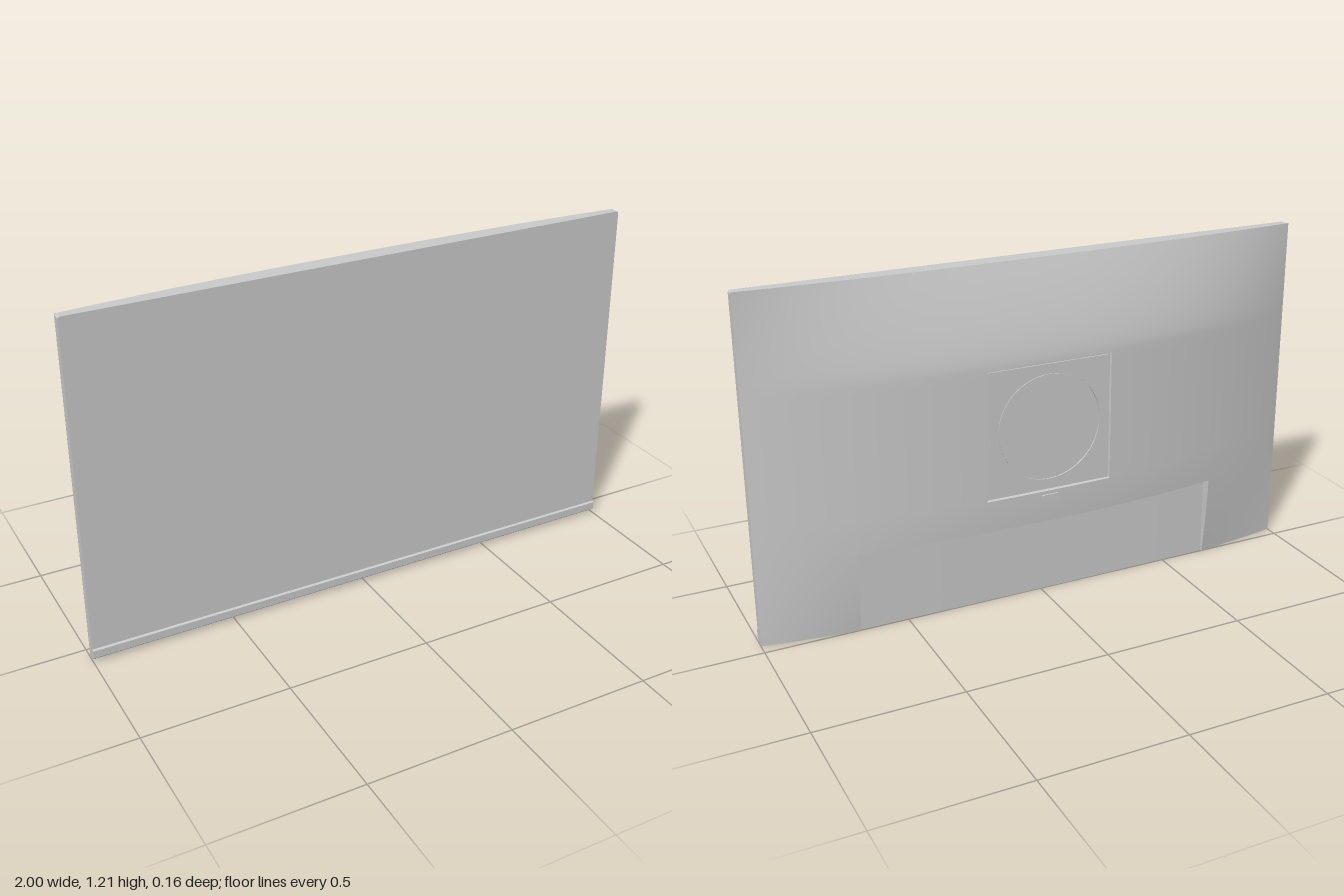
import * as THREE from 'three';
import { toCreasedNormals } from 'three/addons/utils/BufferGeometryUtils.js';

const TOP = 1.205, RIM = 0.045, FRONT = 0.075;
const BAY = { x: 0.67, y: 0.297 };                      // lower rear recess
const MOUNT = { half: 0.23, y: 0.643, floor: -0.062 };  // square mount pocket

const material = () => new THREE.MeshStandardMaterial({ color: 0xcccccc });

function add(group, name, geometry, x = 0, y = 0, z = 0) {
  const mesh = new THREE.Mesh(geometry, material());
  mesh.name = name;
  mesh.position.set(x, y, z);
  group.add(mesh);
  return mesh;
}

// Depth of the rear surface: domed bulge with the recess and pocket cut in
function backZ(x, y) {
  let depth = 0.118;
  if (y > 0.88) depth -= 0.085 * ((y - 0.88) / 0.325) ** 1.35;
  if (y < 0.42) depth -= 0.045 * ((0.42 - y) / 0.42) ** 1.9;
  const z = RIM - 0.001 - depth * (1 - Math.abs(x) ** 2.4);
  if (Math.abs(x) < BAY.x && y < BAY.y) return Math.max(z, 0.006 * (x / BAY.x) ** 2);
  if (Math.abs(x) < MOUNT.half && Math.abs(y - MOUNT.y) < MOUNT.half) return MOUNT.floor;
  return z;
}

// Even steps plus a tight pair of lines at each cut edge
function gridLines(min, max, steps, edges) {
  const lines = [];
  for (let i = 0; i <= steps; i++) lines.push(min + (max - min) * i / steps);
  for (const e of edges) lines.push(e - 0.001, e + 0.001);
  return lines.sort((a, b) => a - b);
}

function shellGeometry() {
  const xs = gridLines(-1, 1, 48, [-BAY.x, BAY.x, -MOUNT.half, MOUNT.half]);
  const ys = gridLines(0, TOP, 40, [BAY.y, MOUNT.y - MOUNT.half, MOUNT.y + MOUNT.half]);
  const rows = [0, ...ys, TOP]; // first and last rows close the shell onto the panel
  const positions = [], index = [], n = xs.length;
  rows.forEach((y, j) => {
    const rim = j === 0 || j === rows.length - 1;
    xs.forEach((x, i) => {
      positions.push(x, y, rim ? RIM : backZ(x, y));
      if (i < n - 1 && j < rows.length - 1) {
        const a = j * n + i, b = a + 1, d = a + n, c = d + 1;
        index.push(a, d, b, b, d, c);
      }
    });
  });
  const geometry = new THREE.BufferGeometry();
  geometry.setAttribute('position', new THREE.Float32BufferAttribute(positions, 3));
  geometry.setIndex(index);
  return toCreasedNormals(geometry, 0.5);
}

function roundedRect(x0, y0, x1, y1, r) {
  const s = new THREE.Shape();
  s.absarc(x1 - r, y0 + r, r, -Math.PI / 2, 0);
  s.absarc(x1 - r, y1 - r, r, 0, Math.PI / 2);
  s.absarc(x0 + r, y1 - r, r, Math.PI / 2, Math.PI);
  s.absarc(x0 + r, y0 + r, r, Math.PI, Math.PI * 1.5);
  s.closePath();
  return s;
}

const extrude = (shape, depth) =>
  new THREE.ExtrudeGeometry(shape, { depth, bevelEnabled: false, curveSegments: 48 });

export function createModel() {
  const group = new THREE.Group();
  group.name = 'monitor';

  // Flat display slab
  add(group, 'displayPanel', extrude(roundedRect(-1, 0.01, 1, TOP, 0.008), FRONT - RIM), 0, 0, RIM);

  // Domed rear housing
  add(group, 'rearHousing', shellGeometry()).material.side = THREE.DoubleSide;

  // Lower front bezel, profile in (-z, y) swept across the width
  const chin = new THREE.Shape([
    [-RIM, 0], [-RIM, 0.049], [-0.076, 0.049], [-0.082, 0.045],
    [-0.082, 0.018], [-0.072, 0.009], [-0.056, 0.002],
  ].map(([x, y]) => new THREE.Vector2(x, y)));
  add(group, 'lowerBezel', extrude(chin, 2), -1).rotation.y = Math.PI / 2;

  // Mount plate with a round opening, set in the square pocket
  const half = MOUNT.half - 0.008;
  const plate = new THREE.Shape([
    [-half, -half], [half, -half], [half, half], [-half, half],
  ].map(([x, y]) => new THREE.Vector2(x, y)));
  plate.holes.push(new THREE.Path().absarc(0, 0, 0.19, 0, Math.PI * 2, true));
  add(group, 'mountPlate', extrude(plate, 0.005), 0, MOUNT.y, MOUNT.floor - 0.005);

  // Round cover just inside the opening
  const cover = new THREE.CylinderGeometry(0.185, 0.185, 0.004, 64).rotateX(Math.PI / 2);
  add(group, 'mountCover', cover, 0, MOUNT.y, MOUNT.floor - 0.001);

  // Release button below the mount
  add(group, 'releaseButton', extrude(roundedRect(-0.03, -0.012, 0.03, 0.012, 0.005), 0.02), 0, 0.388, -0.08);

  return group;
}
